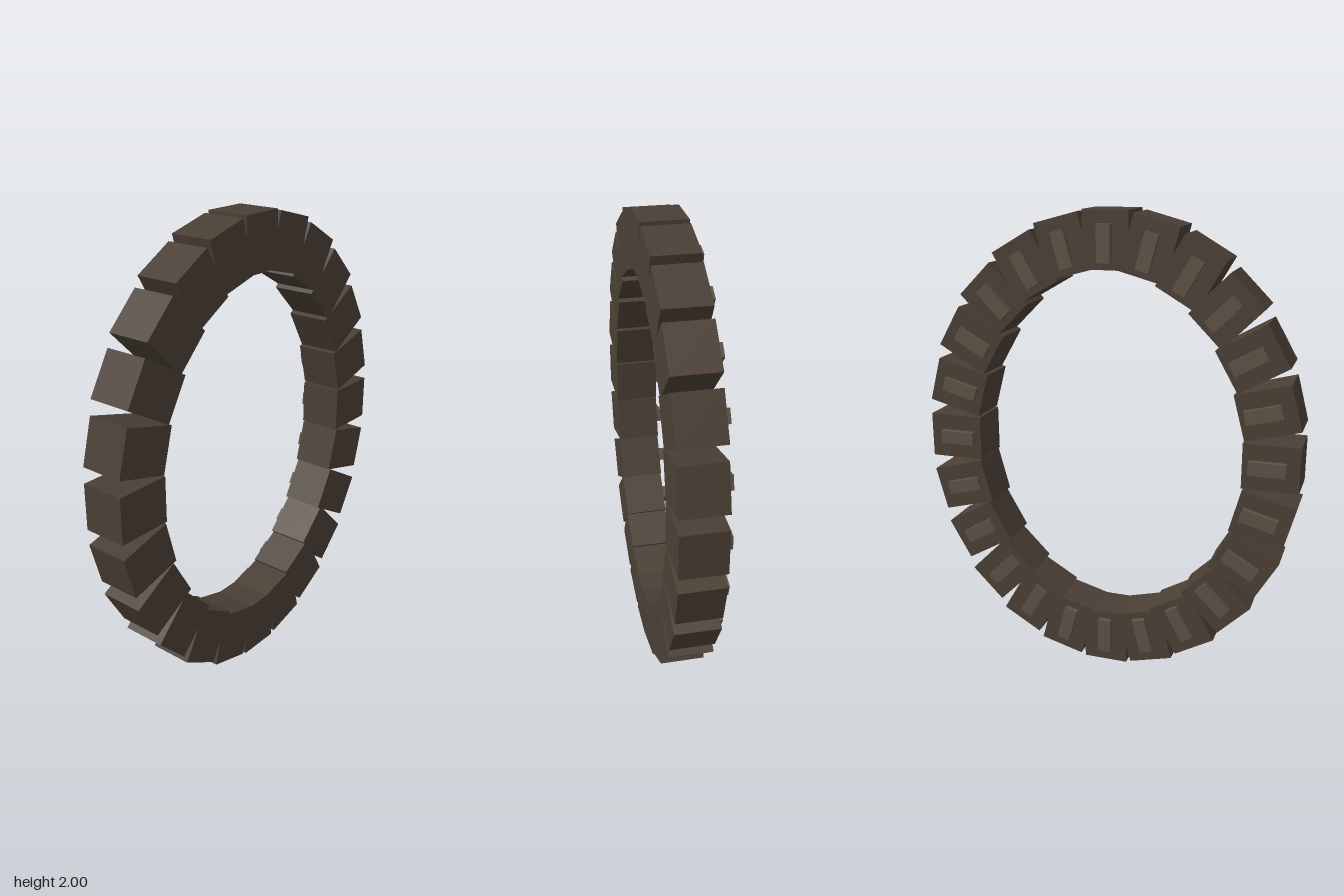
import * as THREE from 'three';

const COUNT = 24;

export function createModel() {
  const model = new THREE.Group();
  model.name = 'trackLoop';

  const linkMaterial = new THREE.MeshStandardMaterial({ color: 0x4a3f35 });
  linkMaterial.name = 'dark brown';
  const cleatMaterial = new THREE.MeshStandardMaterial({ color: 0x5e5145 });
  cleatMaterial.name = 'light brown';

  // x is the radial direction, y runs along the loop
  const linkGeometry = new THREE.BoxGeometry(0.236, 0.195, 0.19);
  const cleatGeometry = new THREE.BoxGeometry(0.154, 0.058, 0.035);

  // Place a part on an upright ellipse, turned by its ellipse angle
  function place(name, geometry, material, angle, rx, ry, z) {
    const mesh = new THREE.Mesh(geometry, material);
    mesh.name = name;
    mesh.position.set(rx * Math.cos(angle), 1 + ry * Math.sin(angle), z);
    mesh.rotation.z = angle;
    model.add(mesh);
  }

  for (let i = 0; i < COUNT; i++) {
    const angle = (i / COUNT) * Math.PI * 2;
    // Chunky link block
    place('link', linkGeometry, linkMaterial, angle, 0.703, 0.882, 0.013);
    // Raised cleat on the back of the link
    place('cleat', cleatGeometry, cleatMaterial, angle, 0.69, 0.871, -0.0905);
  }
  return model;
}
